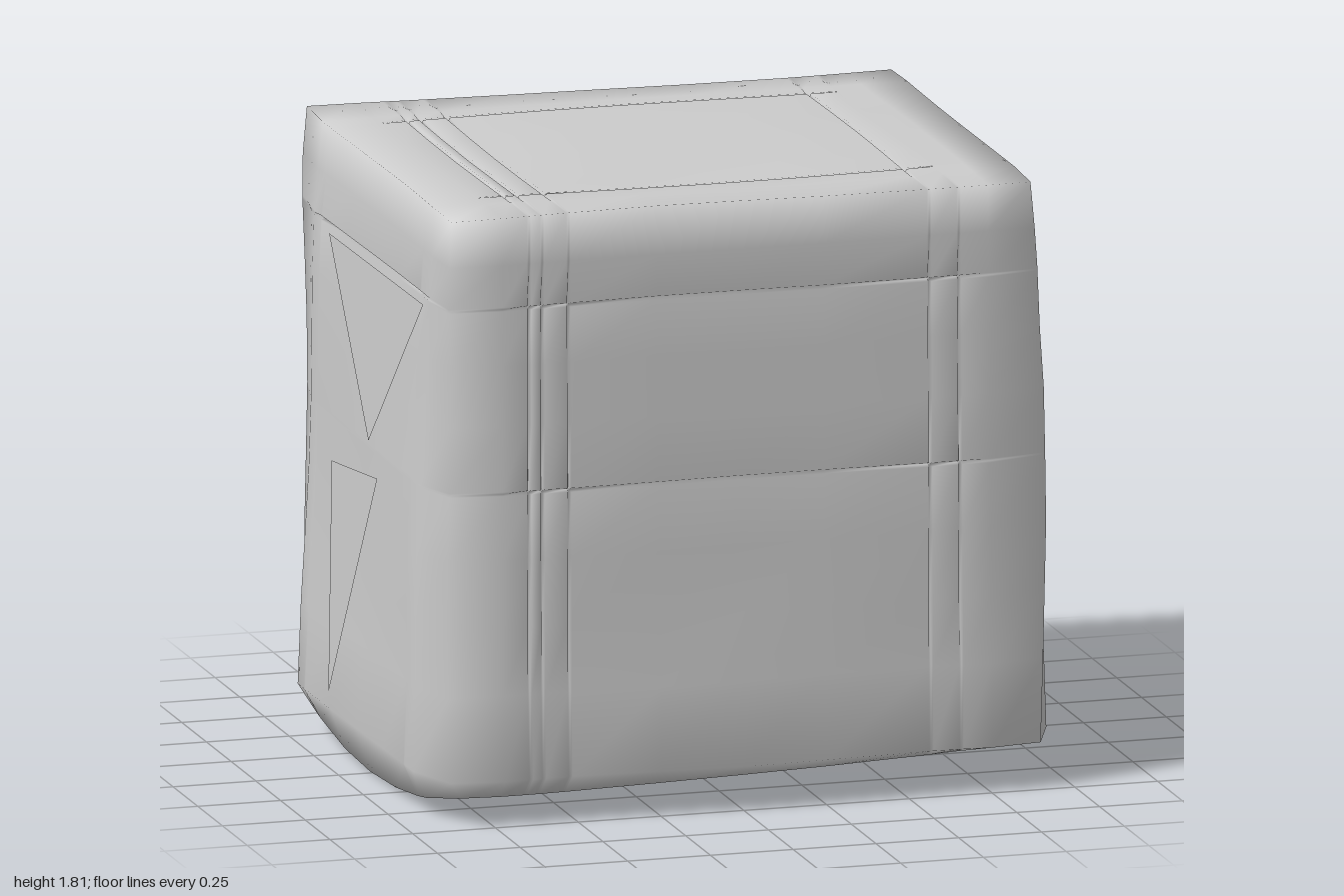
import * as THREE from 'three';
import { mergeVertices } from 'three/addons/utils/BufferGeometryUtils.js';

const material = new THREE.MeshStandardMaterial({ color: 0xcccccc, side: THREE.DoubleSide });
const TOP = 1.82, GROOVE = 0.014;

// Crease positions on each axis
const CX = [-0.64, -0.6, -0.52, 0.57, 0.66], CY = [1.0, 1.55], CZ = [-0.51, 0.46];

// Grid lines: plain ones plus three close ones at every crease
const lines = (plain, creases) =>
  [...plain, ...creases.flatMap(c => [c - 0.006, c, c + 0.006])].sort((a, b) => a - b);
const XS = lines([-1, -0.72, -0.25, 0, 0.25, 0.75, 1], CX);
const YS = lines([0, 0.15, 0.4, 0.6, 0.8, 1.2, 1.38, 1.68, TOP], CY);
const ZS = lines([-1, -0.58, -0.25, 0, 0.25, 0.55, 1], CZ);

// Linear interpolation through [height, value] pairs
function profile(keys, y) {
  for (let i = 1; i < keys.length; i++) {
    const [a, va] = keys[i - 1], [b, vb] = keys[i];
    if (y <= b) return va + (vb - va) * (y - a) / (b - a);
  }
  return keys[keys.length - 1][1];
}

// Wall outlines by height: the left side leans out more than the right
const LEFT = [[0, 0.93], [0.15, 0.975], [0.8, 0.965], [1.2, 0.955], [1.6, 0.92], [TOP, 0.885]];
const RIGHT = [[0, 0.9], [0.15, 0.945], [0.6, 0.93], [1, 0.915], [1.55, 0.895], [TOP, 0.875]];
const FRONT = [[0, 0.69], [0.15, 0.755], [0.6, 0.735], [1, 0.725], [TOP, 0.715]];
const BACK = [[0, 0.68], [0.15, 0.74], [1, 0.745], [1.68, 0.755], [TOP, 0.73]];

// Wall surfaces with a slight unevenness
const sideX = (s, y, z) =>
  s * profile(s > 0 ? LEFT : RIGHT, y) + 0.006 * Math.sin(5 * y + 4 * z + s);
function wallZ(s, x, y) {
  const ripple = y < 0.5 ? 0.014 : 0.005;
  const tilt = s < 0 ? 0.025 * x : 0;
  return s * profile(s > 0 ? FRONT : BACK, y) + tilt + ripple * Math.sin(6 * x + 3 * y + s);
}

const near = (v, list) => list.some(c => Math.abs(v - c) < 0.001);
const within = (v, a, b) => v >= a && v <= b;

// Slumped, padded block: a box grid with sagging base, tapering walls and creases
function bodyGeometry() {
  const g = new THREE.BoxGeometry(2, 2, 2, XS.length - 1, YS.length - 1, ZS.length - 1);
  const p = g.attributes.position;
  const pick = (list, v) => list[Math.round((v + 1) / 2 * (list.length - 1))];
  const end = v => (Math.abs(v) > 0.999 ? Math.sign(v) : 0);
  for (let i = 0; i < p.count; i++) {
    const sx = end(p.getX(i)), sy = end(p.getY(i)), sz = end(p.getZ(i));
    const gx = pick(XS, p.getX(i)), gy = pick(YS, p.getY(i)), gz = pick(ZS, p.getZ(i));
    let x = gx, y = gy, z = gz;

    // Outer walls, drawn in at the upright edges, more so low down
    const low = 1 - gy / TOP;
    if (sx) x = sideX(sx, gy, gz * 0.75) - (sz ? sx * (0.01 + 0.06 * low) : 0);
    if (sz) z = wallZ(sz, gx, gy) - (sx ? sz * (0.005 + 0.04 * low) : 0);

    if (sy > 0) y += 0.004 * Math.sin(3 * gx - 4 * gz);

    // Sagging base, tilted up towards the left
    if (sy < 0) y = 0.03 + 0.03 * x + 0.09 * (z / 0.75) ** 2 + 0.025 * x ** 4;

    // Creases on the front and back, the top and the sides
    if (sz && !sx && !sy) {
      const across = near(gy, CY) && within(gx, -0.65, 0.67);
      const upright = near(gx, CX) && within(gy, 0.55, 1.6);
      if (across || upright) z -= sz * GROOVE;
    } else if (sy > 0 && !sx && !sz) {
      const across = near(gz, CZ) && within(gx, -0.65, 0.58);
      const along = near(gx, CX.slice(0, 4)) && within(gz, -0.52, 0.47);
      if (across || along) y -= GROOVE;
    } else if (sx && !sy && !sz && near(gy, [1.55]) && within(gz, -0.52, 0.5)) {
      x -= sx * GROOVE;
    }
    p.setXYZ(i, x, y, z);
  }
  g.deleteAttribute('uv');
  g.deleteAttribute('normal');
  const merged = mergeVertices(g, 1e-5);
  merged.computeVertexNormals();
  return merged;
}

// Thin folded flap lying on a side wall; corners are [z, y]
function flap(name, side, corners) {
  const pts = corners.map(([z, y]) => new THREE.Vector2(z, y));
  const g = new THREE.ShapeGeometry(new THREE.Shape(pts));
  const p = g.attributes.position;
  for (let i = 0; i < p.count; i++) {
    const z = p.getX(i), y = p.getY(i);
    p.setXYZ(i, sideX(side, y, z) + side * 0.008, y, z);
  }
  g.computeVertexNormals();
  // Wind the faces outward
  if (g.attributes.normal.getX(0) * side < 0) {
    g.setIndex(Array.from(g.index.array).reverse());
    g.computeVertexNormals();
  }
  const mesh = new THREE.Mesh(g, material);
  mesh.name = name;
  return mesh;
}

export function createModel() {
  const group = new THREE.Group();
  group.name = 'creasedBlock';

  const body = new THREE.Mesh(bodyGeometry(), material);
  body.name = 'body';
  group.add(body);

  // Triangular folds below the upper side creases, and a lower fold on each side
  const upperFold = [[0.52, 1.53], [-0.4, 1.53], [0.06, 1.02]];
  group.add(
    flap('leftUpperFold', 1, upperFold),
    flap('rightUpperFold', -1, upperFold),
    flap('leftRearTuck', 1, [[-0.56, 0.96], [-0.5, 0.46], [-0.58, 0.4]]),
    flap('rightLowerFold', -1, [[-0.33, 0.87], [0.16, 0.93], [-0.25, 0.2]]),
  );
  return group;
}
